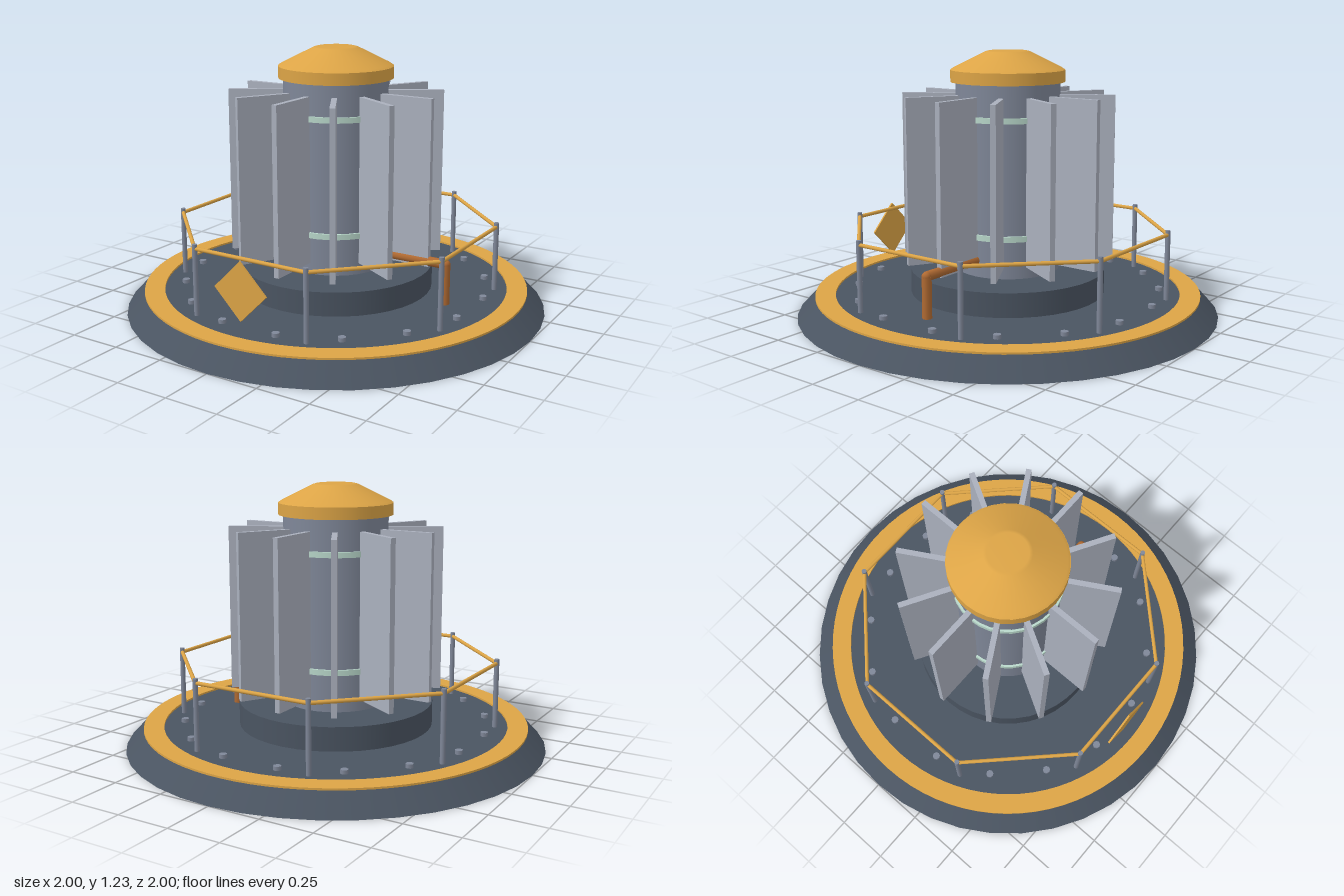
import * as THREE from 'three';

const mat = (name, color, side = THREE.FrontSide) => {
  const m = new THREE.MeshStandardMaterial({ color, side });
  m.name = name;
  return m;
};

export function createModel() {
  const slate = mat('slate', 0x4a5461);
  const steel = mat('steel', 0x7f8798);
  const finGrey = mat('fin grey', 0xaab0bd);
  const amber = mat('amber', 0xdca446);
  const copper = mat('copper', 0xb06a32);
  const mint = mat('pale mint', 0xb9d8cb);

  const model = new THREE.Group();
  const add = (name, geometry, material, x = 0, y = 0, z = 0) => {
    const mesh = new THREE.Mesh(geometry, material);
    mesh.name = name;
    mesh.position.set(x, y, z);
    model.add(mesh);
    return mesh;
  };
  // Round bar between two points
  const bar = (name, a, b, r, material) => {
    const dir = b.clone().sub(a);
    const mesh = add(name, new THREE.CylinderGeometry(r, r, dir.length(), 10), material);
    mesh.position.copy(a).add(b).multiplyScalar(0.5);
    mesh.quaternion.setFromUnitVectors(new THREE.Vector3(0, 1, 0), dir.normalize());
    return mesh;
  };
  const V = (x, y, z) => new THREE.Vector3(x, y, z);

  // Base, deck and painted rim
  add('base', new THREE.CylinderGeometry(0.915, 1, 0.09, 40), slate, 0, 0.045, 0);
  const rim = new THREE.Shape().absarc(0, 0, 0.915, 0, Math.PI * 2);
  rim.holes.push(new THREE.Path().absarc(0, 0, 0.82, 0, Math.PI * 2, true));
  const rimGeo = new THREE.ExtrudeGeometry(rim, { depth: 0.009, bevelEnabled: false, curveSegments: 40 });
  add('rimStripe', rimGeo.rotateX(-Math.PI / 2), amber, 0, 0.09, 0);

  // Pedestal and core column
  add('pedestal', new THREE.CylinderGeometry(0.463, 0.463, 0.115, 40), slate, 0, 0.145, 0);
  add('core', new THREE.CylinderGeometry(0.245, 0.245, 0.92, 32), steel, 0, 0.66, 0);

  // Glowing bands on the core
  for (const y of [0.39, 0.93])
    add('coreBand', new THREE.CylinderGeometry(0.255, 0.255, 0.026, 32), mint, 0, y, 0);

  // Cap: sharp lip below, smooth crown above
  add('capLip', new THREE.CylinderGeometry(0.268, 0.268, 0.055, 32), amber, 0, 1.115, 0);
  const crown = [[0.268, 1.142], [0.255, 1.151], [0.105, 1.226], [0.09, 1.23], [0, 1.23]];
  add('capCrown', new THREE.LatheGeometry(crown.map(([r, y]) => new THREE.Vector2(r, y)), 32), amber);

  // Twelve radial cooling fins
  for (let i = 0; i < 12; i++) {
    const a = (i * Math.PI) / 6;
    const fin = add('coolingFin', new THREE.BoxGeometry(0.27, 0.775, 0.025), finGrey,
      0.365 * Math.cos(a), 0.643, 0.365 * Math.sin(a));
    fin.rotation.y = -a;
  }

  // Octagonal railing
  const corner = (i, y) => {
    const a = Math.PI / 8 + (i * Math.PI) / 4;
    return V(0.76 * Math.cos(a), y, 0.76 * Math.sin(a));
  };
  for (let i = 0; i < 8; i++) {
    bar('railPost', corner(i, 0.085), corner(i, 0.42), 0.012, steel);
    bar('handRail', corner(i, 0.4), corner(i + 1, 0.4), 0.009, amber);
  }

  // Deck bolts
  for (let i = 0; i < 16; i++) {
    const a = ((i + 0.5) * Math.PI) / 8;
    add('deckBolt', new THREE.CylinderGeometry(0.018, 0.018, 0.02, 8), steel,
      0.725 * Math.cos(a), 0.098, 0.725 * Math.sin(a));
  }

  // Drain pipe with a rounded elbow
  bar('pipeRun', V(0.23, 0.28, 0), V(0.583, 0.28, 0), 0.022, copper);
  bar('pipeDrop', V(0.583, 0.28, 0), V(0.583, 0.085, 0), 0.022, copper);
  add('pipeElbow', new THREE.SphereGeometry(0.022, 14, 10), copper, 0.583, 0.28, 0);

  // Diamond warning plate in front of the railing
  const sign = add('warningPlate', new THREE.BoxGeometry(0.19, 0.19, 0.009), amber, 0, 0.278, 0.762);
  sign.rotation.z = Math.PI / 4;

  return model;
}
